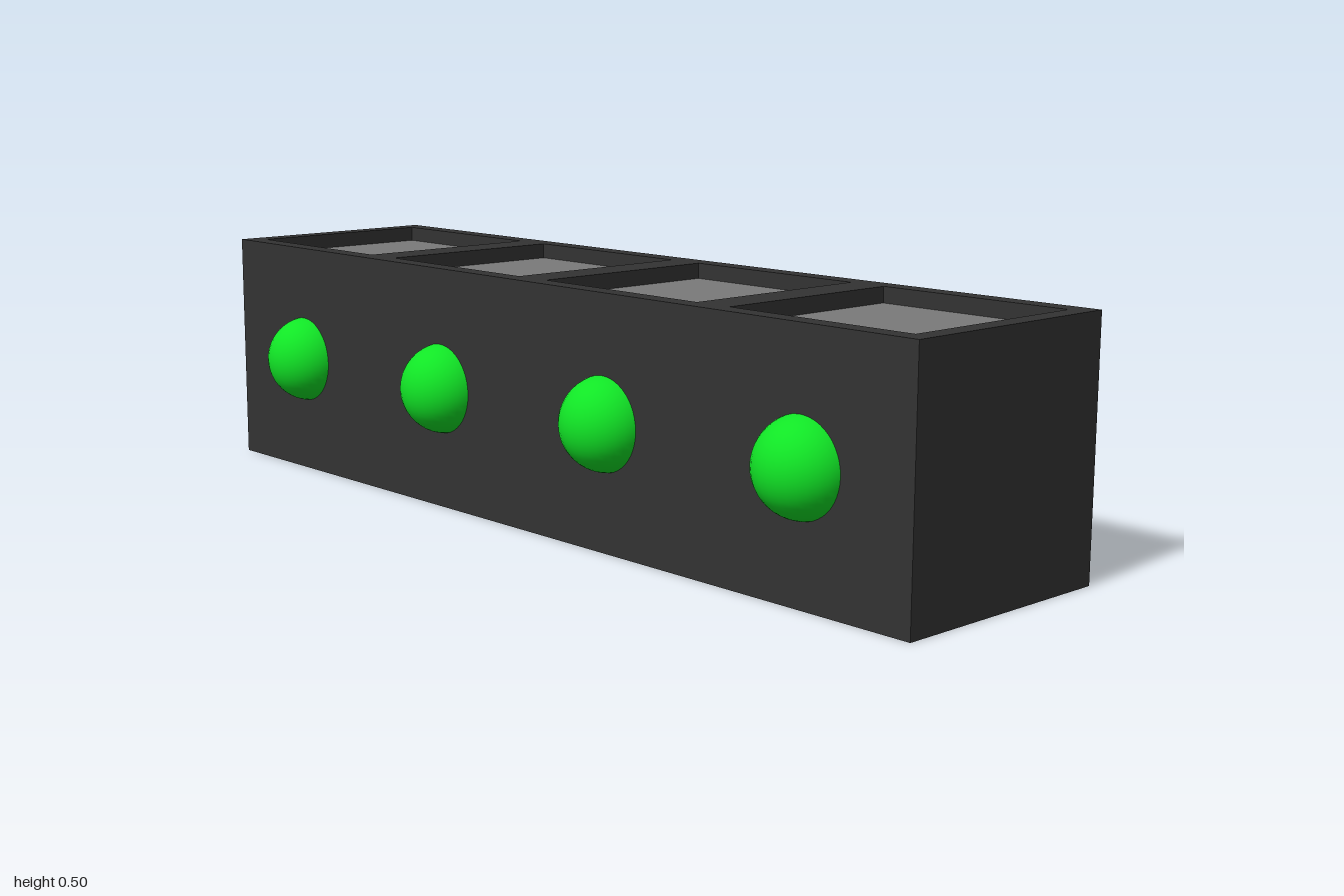
import * as THREE from 'three';

const BACK = -0.29, FRONT = 0.21, MID_Z = (BACK + FRONT) / 2;
const HEIGHT = 0.5, DEPTH = 0.033, CELL = 0.418;
const CENTRES = [-0.75, -0.25, 0.25, 0.75];

const material = (color) => new THREE.MeshStandardMaterial({ color });

// Adds a closed rectangle centred on (cx, cy) to a shape or path
function rect(path, cx, cy, w, h) {
  path.moveTo(cx - w / 2, cy - h / 2);
  path.lineTo(cx + w / 2, cy - h / 2);
  path.lineTo(cx + w / 2, cy + h / 2);
  path.lineTo(cx - w / 2, cy + h / 2);
  path.closePath();
  return path;
}

export function createModel() {
  const group = new THREE.Group();
  const dark = material(0x333333);
  const grey = material(0x7a7a7a);
  const green = material(0x11e626);

  function add(name, geometry, mat, x, y, z) {
    const mesh = new THREE.Mesh(geometry, mat);
    mesh.name = name;
    mesh.position.set(x, y, z);
    group.add(mesh);
  }

  // Solid lower body
  const bodyHeight = HEIGHT - DEPTH;
  add('body', new THREE.BoxGeometry(2, bodyHeight, FRONT - BACK), dark, 0, bodyHeight / 2, MID_Z);

  // Top frame with four square openings
  const frame = rect(new THREE.Shape(), 0, 0, 2, FRONT - BACK);
  for (const x of CENTRES) frame.holes.push(rect(new THREE.Path(), x, 0, CELL, CELL));
  const frameGeometry = new THREE.ExtrudeGeometry(frame, { depth: DEPTH, bevelEnabled: false });
  frameGeometry.rotateX(-Math.PI / 2);
  add('topFrame', frameGeometry, dark, 0, bodyHeight, MID_Z);

  // Recessed panel and front light for each cell
  const panel = new THREE.PlaneGeometry(CELL, CELL).rotateX(-Math.PI / 2);
  const light = new THREE.SphereGeometry(0.094, 32, 24);
  CENTRES.forEach((x, i) => {
    add(`recessedPanel${i + 1}`, panel, grey, x, bodyHeight + 0.001, MID_Z);
    add(`frontLight${i + 1}`, light, green, x, 0.25, 0.196);
  });

  return group;
}
